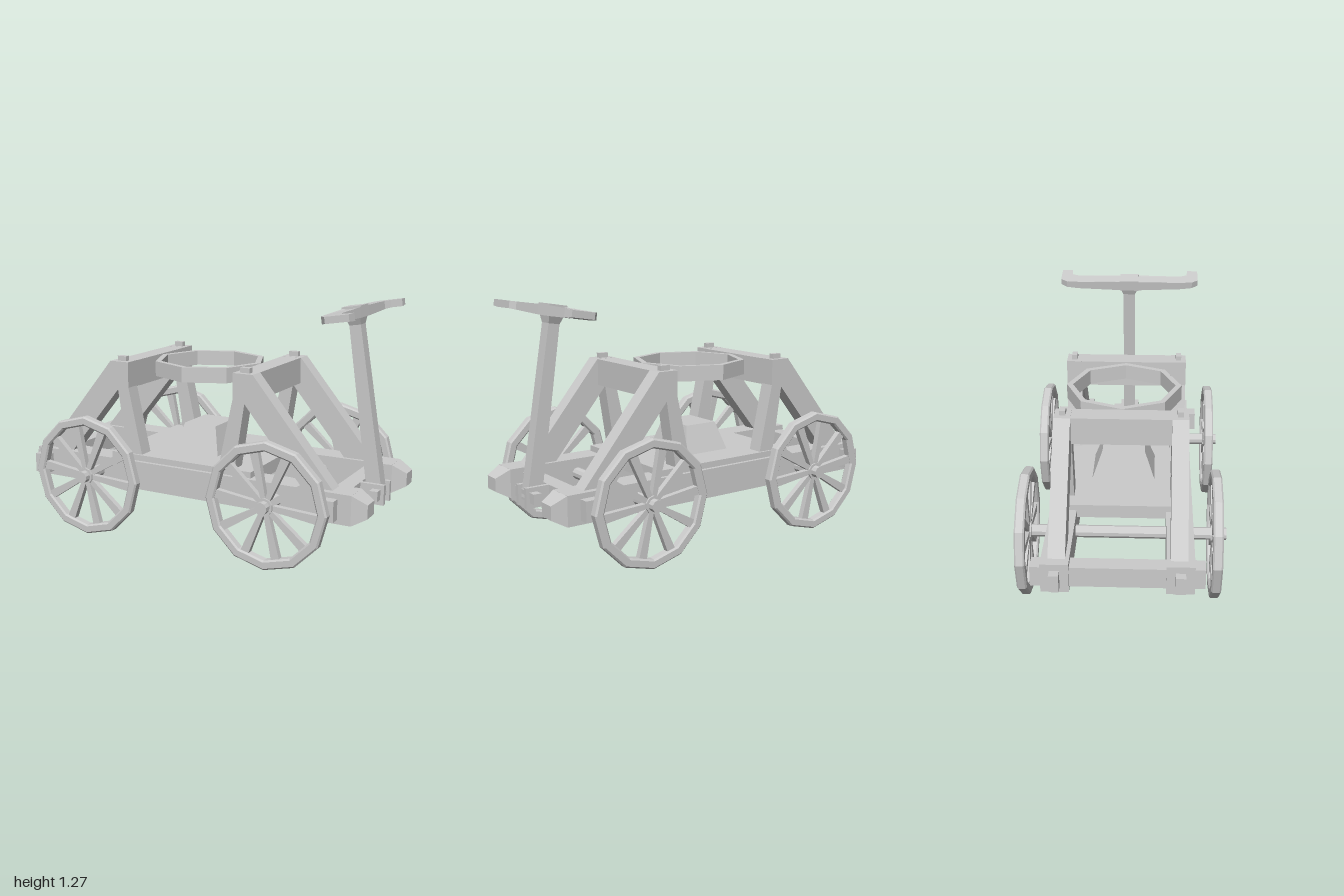
import * as THREE from 'three';

const mat = new THREE.MeshStandardMaterial({ color: 0xcccccc, flatShading: true });

function add(parent, name, geo, x = 0, y = 0, z = 0) {
  const m = new THREE.Mesh(geo, mat);
  m.name = name;
  m.position.set(x, y, z);
  parent.add(m);
  return m;
}

// Box given by its limits on each axis
function box(parent, name, [x0, x1], [y0, y1], [z0, z1]) {
  return add(parent, name, new THREE.BoxGeometry(x1 - x0, y1 - y0, z1 - z0),
    (x0 + x1) / 2, (y0 + y1) / 2, (z0 + z1) / 2);
}

// Four-sided block rising from y = 0 to h, changing from w0 x d0 to w1 x d1
function taper(w0, d0, w1, d1, h) {
  const g = new THREE.BoxGeometry(1, h, 1).translate(0, h / 2, 0);
  const p = g.attributes.position;
  for (let i = 0; i < p.count; i++) {
    const top = p.getY(i) > h / 2;
    p.setX(i, p.getX(i) * (top ? w1 : w0));
    p.setZ(i, p.getZ(i) * (top ? d1 : d0));
  }
  g.computeVertexNormals();
  return g;
}

const polygon = (r, n) => Array.from({ length: n }, (_, i) => {
  const a = i / n * Math.PI * 2;
  return new THREE.Vector2(r * Math.cos(a), r * Math.sin(a));
});

// Polygonal band, centred on its depth along z
function band(outer, inner, n, depth, bevel = 0) {
  const s = new THREE.Shape(polygon(outer - bevel, n));
  s.holes.push(new THREE.Path(polygon(inner + bevel, n)));
  const core = depth - 2 * bevel;
  return new THREE.ExtrudeGeometry(s, {
    depth: core, bevelEnabled: bevel > 0, bevelSize: bevel, bevelThickness: bevel, bevelSegments: 1,
  }).translate(0, 0, -core / 2);
}

function extrude(points, depth) {
  const s = new THREE.Shape(points.map(([x, y]) => new THREE.Vector2(x, y)));
  return new THREE.ExtrudeGeometry(s, { depth, bevelEnabled: false });
}

function makeWheel() {
  const w = new THREE.Group();
  w.name = 'wheel';
  add(w, 'rim', band(0.326, 0.277, 12, 0.05, 0.008));
  add(w, 'hub', new THREE.CylinderGeometry(0.045, 0.045, 0.046, 10).rotateX(Math.PI / 2));
  for (let i = 0; i < 10; i++) {
    const spoke = add(w, 'spoke', taper(0.026, 0.03, 0.046, 0.03, 0.255).translate(0, 0.03, 0));
    spoke.rotation.z = -1.66 + i * Math.PI / 5;
  }
  return w;
}

export function createModel() {
  const model = new THREE.Group();
  model.name = 'cart';

  // Side rails with a tenon at one end and a tapered tip at the other
  for (const s of [-1, 1]) {
    const z = s * 0.298;
    box(model, 'sideRail', [-0.957, 0.925], [0.257, 0.41], [z - 0.068, z + 0.068]);
    box(model, 'railTenon', [-1, -0.957], [0.285, 0.375], [z - 0.024, z + 0.024]);
    add(model, 'railTip', taper(0.153, 0.136, 0.07, 0.09, 0.075).rotateZ(-Math.PI / 2), 0.925, 0.333, z);
  }

  // End beams, deck and the block on it
  box(model, 'rearBeam', [-0.94, -0.855], [0.278, 0.383], [-0.417, 0.417]);
  box(model, 'frontBeam', [0.77, 0.855], [0.278, 0.383], [-0.417, 0.417]);
  box(model, 'deck', [-0.465, 0.38], [0.37, 0.442], [-0.345, 0.345]);
  add(model, 'deckBlock', taper(0.275, 0.335, 0.19, 0.227, 0.148), -0.045, 0.442, 0);

  // Axles and wheels
  for (const x of [-0.535, 0.53]) {
    add(model, 'axle', new THREE.CylinderGeometry(0.032, 0.032, 1.072, 10).rotateX(Math.PI / 2), x, 0.33, 0);
    for (const z of [-0.478, 0.478]) {
      const w = makeWheel();
      w.position.set(x, 0.33, z);
      model.add(w);
    }
  }

  // Two mirrored trestles: splayed legs, top beam, pegs and a ring pin
  const leg = [[-0.87, 0.4], [-0.425, 0.937], [-0.313, 0.937], [-0.313, 0.8], [-0.225, 0.4],
    [-0.32, 0.4], [-0.38, 0.785], [-0.7, 0.4]];
  for (const s of [-1, 1]) {
    const pts = leg.map(([x, y]) => [-s * x - 0.045, y]);
    const span = (a, b) => [s * a - 0.045, s * b - 0.045].sort((p, q) => p - q);
    for (const z of [-0.333, 0.25]) {
      add(model, 'trestleLegs', extrude(pts, 0.083), 0, 0, z);
      box(model, 'peg', span(0.342, 0.395), [0.93, 0.963], [z + 0.027, z + 0.057]);
    }
    box(model, 'topBeam', span(0.314, 0.424), [0.795, 0.936], [-0.332, 0.332]);
    box(model, 'ringPin', span(0.28, 0.32), [0.868, 0.908], [-0.025, 0.025]);
  }

  // Octagonal ring held between the trestles
  add(model, 'ring', band(0.304, 0.272, 8, 0.08).rotateX(Math.PI / 2), -0.045, 0.894, 0);

  // Hinge for the pull handle
  for (const z of [-0.055, 0.033]) {
    box(model, 'hingeCheek', [0.855, 0.98], [0.278, 0.383], [z, z + 0.022]);
  }
  box(model, 'hingePin', [0.92, 0.962], [0.307, 0.36], [-0.1, 0.1]);

  // Leaning pull handle, built upright and then tilted
  const handle = new THREE.Group();
  handle.name = 'pullHandle';
  handle.position.set(0.925, 0.315, 0);
  handle.rotation.z = 0.155;
  model.add(handle);
  add(handle, 'pole', taper(0.08, 0.068, 0.06, 0.068, 0.88));
  add(handle, 'poleHead', taper(0.06, 0.068, 0.085, 0.11, 0.05), 0, 0.87, 0);
  const half = [[-0.045, 0.06], [-0.038, 0.3], [-0.03, 0.37], [0, 0.405], [0.12, 0.405],
    [0.125, 0.345], [0.065, 0.34], [0.045, 0.3], [0.048, 0.06]];
  const outline = [...half, ...half.map(([x, z]) => [x, -z]).reverse()];
  const bar = extrude(outline, 0.045).rotateX(Math.PI / 2);
  // Thin the bar towards its ends
  const p = bar.attributes.position;
  for (let i = 0; i < p.count; i++) {
    const t = Math.abs(p.getZ(i)) / 0.4;
    p.setY(i, p.getY(i) * (1.15 - 0.4 * t * t) - 0.006 * t);
  }
  bar.computeVertexNormals();
  add(handle, 'crossbar', bar, 0, 0.957, 0);
  box(handle, 'crossbarCentre', [-0.052, 0.048], [0.905, 0.964], [-0.055, 0.055]);

  return model;
}
